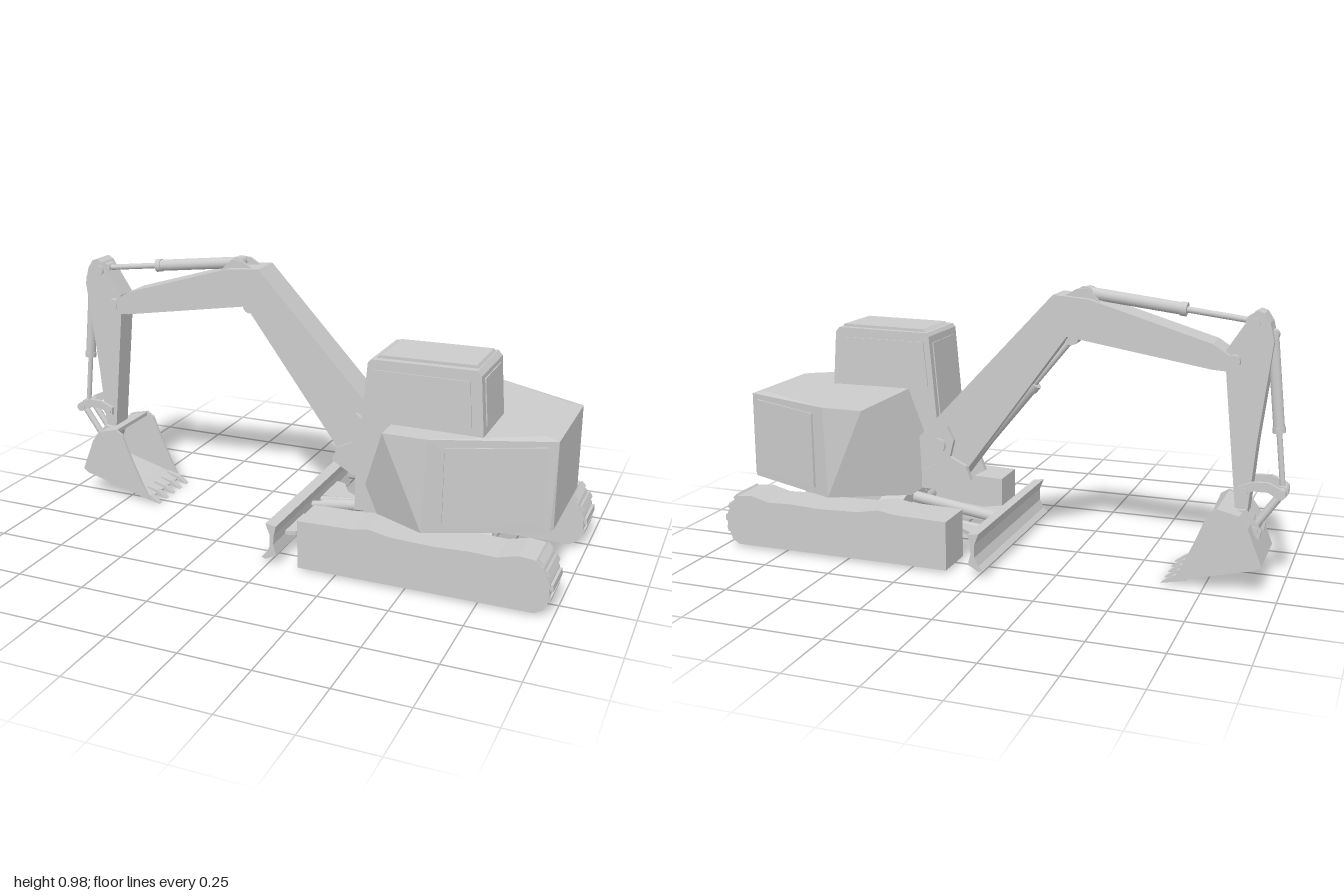
import * as THREE from 'three';
import { ConvexGeometry } from 'three/addons/geometries/ConvexGeometry.js';

const mat = new THREE.MeshStandardMaterial({ color: 0xcccccc, flatShading: true, side: THREE.DoubleSide });
const smooth = new THREE.MeshStandardMaterial({ color: 0xcccccc });
const V = (x, y, z) => new THREE.Vector3(x, y, z);
const ARM_Z = -0.08; // the digging arm sits off-centre, beside the cab

export function createModel() {
  const root = new THREE.Group();

  function add(name, geometry, parent = root, material = mat) {
    const mesh = new THREE.Mesh(geometry, material);
    mesh.name = name;
    parent.add(mesh);
    return mesh;
  }
  function group(name) {
    const g = new THREE.Group();
    g.name = name;
    root.add(g);
    return g;
  }
  // side profile in x,y extruded from z0 to z1
  function plate(name, pts, z0, z1, parent) {
    const shape = new THREE.Shape(pts.map(p => new THREE.Vector2(p[0], p[1])));
    const g = new THREE.ExtrudeGeometry(shape, { depth: z1 - z0, bevelEnabled: false });
    g.translate(0, 0, z0);
    return add(name, g, parent);
  }
  function box(name, w, h, d, x, y, z, parent) {
    const m = add(name, new THREE.BoxGeometry(w, h, d), parent);
    m.position.set(x, y, z);
    return m;
  }
  function rod(name, a, b, r, parent, sides = 16) {
    const m = add(name, new THREE.CylinderGeometry(r, r, a.distanceTo(b), sides), parent, smooth);
    m.position.copy(a).lerp(b, 0.5);
    m.quaternion.setFromUnitVectors(V(0, 1, 0), b.clone().sub(a).normalize());
    return m;
  }
  const pin = (name, x, y, half, r, parent) => rod(name, V(x, y, ARM_Z - half), V(x, y, ARM_Z + half), r, parent);
  // hydraulic cylinder: barrel from a to the split, thin rod on to b
  function hydraulic(name, a, b, split, r) {
    const g = group(name), mid = a.clone().lerp(b, split);
    rod('barrel', a, mid, r, g);
    rod('pistonRod', mid, b, r * 0.5, g);
    rod('barrelCollar', mid.clone().lerp(a, 0.06), mid, r * 1.15, g);
    for (const p of [a, b]) pin('endEye', p.x, p.y, r * 1.1, r * 1.05, g);
  }

  // Tracks
  const trackProfile = [[0.115, 0.01], [0.94, 0.01], [0.965, 0.025], [0.985, 0.075], [0.985, 0.12], [0.96, 0.17],
    [0.935, 0.195], [0.88, 0.2], [0.81, 0.182], [0.72, 0.185], [0.6, 0.18], [0.45, 0.185], [0.37, 0.2], [0.31, 0.19], [0.115, 0.185]];
  for (const [name, z0, z1] of [['leftTrack', 0.2, 0.35], ['rightTrack', -0.36, -0.205]]) {
    const g = group(name);
    plate('trackBelt', trackProfile, z0, z1, g);
    // shoe bars around the rear end
    for (const [x, y, a] of [[0.958, 0.03, -0.9], [0.98, 0.065, -0.25], [0.986, 0.105, 0.1], [0.972, 0.15, 0.5], [0.945, 0.185, 0.8]])
      box('trackShoe', 0.02, 0.022, z1 - z0 - 0.012, x, y, (z0 + z1) / 2, g).rotation.z = a;
  }

  // Undercarriage
  const frame = group('undercarriage');
  box('centreFrame', 0.34, 0.045, 0.19, 0.56, 0.16, 0, frame);
  box('centreBeam', 0.3, 0.07, 0.05, 0.56, 0.105, -0.01, frame);
  for (const x of [0.42, 0.7]) {
    rod('crossTube', V(x, 0.1, -0.22), V(x, 0.1, 0.22), 0.03, frame);
    box('crossBeam', 0.05, 0.02, 0.42, x, 0.138, 0, frame);
    for (const s of [-1, 1]) {
      const leg = box('slopedLeg', 0.09, 0.015, 0.14, x, 0.165, s * 0.145, frame);
      leg.rotation.x = s * 0.28;
      box('tubeBracket', 0.06, 0.05, 0.025, x, 0.115, s * 0.1, frame);
    }
  }
  rod('turntableRing', V(0.56, 0.175, 0), V(0.56, 0.205, 0), 0.11, frame, 32);
  rod('turntable', V(0.56, 0.2, 0), V(0.56, 0.235, 0), 0.14, frame, 32);

  // Dozer blade with its push arms
  const dozer = group('dozerBlade');
  plate('blade', [[-0.005, 0.155], [0.01, 0.115], [0.01, 0.07], [-0.005, 0.04], [-0.022, 0.025], [-0.005, 0.02],
    [0.022, 0.035], [0.035, 0.04], [0.024, 0.08], [0.026, 0.115], [0.035, 0.15]], -0.36, 0.35, dozer);
  for (const s of [-1, 1]) {
    rod('pushArm', V(0.02, 0.075, s * 0.09), V(0.42, 0.115, s * 0.09), 0.014, dozer);
    const gusset = new THREE.Shape([[0.02, 0.25], [0.06, 0.24], [0.1, 0.17], [0.17, 0.12], [0.17, 0.1], [0.02, 0.1]]
      .map(([x, z]) => new THREE.Vector2(x, s * z)));
    const m = add('gusset', new THREE.ExtrudeGeometry(gusset, { depth: 0.015, bevelEnabled: false }), dozer);
    m.rotation.set(Math.PI / 2, 0, 0);
    m.position.y = 0.09;
  }
  rod('bladeCylinder', V(0.07, 0.1, 0), V(0.42, 0.15, 0), 0.021, dozer);
  rod('bladeRod', V(0.02, 0.093, 0), V(0.07, 0.1, 0), 0.012, dozer);

  // Upper body: sloping nose, wide shoulders, tapered tail
  const body = group('upperBody');
  const corners = [];
  for (const s of [-1, 1]) corners.push(
    V(0.295, 0.23, s * 0.24), V(0.56, 0.23, s * 0.37), V(0.945, 0.23, s * 0.205), V(0.955, 0.24, s * 0.195),
    V(0.42, 0.555, s * 0.37), V(0.57, 0.555, s * 0.37), V(0.91, 0.552, s * 0.18), V(0.955, 0.543, s * 0.195));
  add('bodyShell', new ConvexGeometry(corners), body);
  for (const s of [-1, 1]) {
    const panel = box('engineDoor', 0.33, 0.27, 0.02, 0.772, 0.39, s * 0.274, body);
    panel.rotation.y = s * 0.417;
    const vent = box('doorEdge', 0.014, 0.27, 0.03, 0.625, 0.39, s * 0.336, body);
    vent.rotation.y = s * 0.417;
  }

  // Cab
  const cab = group('cab');
  plate('cabShell', [[0.295, 0.232], [0.73, 0.232], [0.73, 0.555], [0.715, 0.755], [0.7, 0.772], [0.345, 0.768],
    [0.335, 0.755], [0.305, 0.42]], 0.022, 0.28, cab);
  plate('cabRoof', [[0.35, 0.765], [0.7, 0.768], [0.69, 0.782], [0.37, 0.778]], 0.045, 0.255, cab);
  plate('sideWindow', [[0.34, 0.57], [0.69, 0.57], [0.68, 0.735], [0.357, 0.735]], 0.018, 0.284, cab);
  box('rearWindow', 0.008, 0.16, 0.19, 0.722, 0.66, 0.15, cab).rotation.z = 0.075;
  box('frontWindow', 0.008, 0.28, 0.2, 0.32, 0.59, 0.15, cab).rotation.z = -0.09;

  // Boom and its foot
  const boom = group('boom');
  plate('boomBeam', [[0.18, 0.235], [0.295, 0.235], [0.305, 0.42], [-0.195, 0.955], [-0.32, 0.945], [-0.74, 0.82],
    [-0.81, 0.775], [-0.835, 0.745], [-0.82, 0.73], [-0.74, 0.735], [-0.245, 0.815]], ARM_Z - 0.062, ARM_Z + 0.062, boom);
  for (const s of [-1, 1]) {
    const z = ARM_Z + s * 0.07;
    plate('footBracket', [[0.1, 0.28], [0.18, 0.235], [0.29, 0.235], [0.29, 0.3], [0.23, 0.33], [0.22, 0.45],
      [0.19, 0.47], [0.165, 0.42], [0.18, 0.36], [0.12, 0.33]], z - 0.01, z + 0.01, boom);
    plate('cylinderLug', [[-0.36, 0.93], [-0.22, 0.945], [-0.27, 0.975], [-0.31, 0.978]],
      ARM_Z + s * 0.035 - 0.005, ARM_Z + s * 0.035 + 0.005, boom);
  }
  pin('footPin', 0.22, 0.4, 0.09, 0.025, boom);
  pin('stickPin', -0.81, 0.765, 0.065, 0.022, boom);

  // Stick
  const stick = group('stick');
  plate('stickBeam', [[-0.9, 0.925], [-0.92, 0.895], [-0.935, 0.835], [-0.895, 0.5], [-0.872, 0.24], [-0.855, 0.215],
    [-0.835, 0.235], [-0.785, 0.72], [-0.783, 0.8], [-0.86, 0.92], [-0.88, 0.932]], ARM_Z - 0.042, ARM_Z + 0.042, stick);
  pin('stickHeadPin', -0.87, 0.89, 0.05, 0.018, stick);

  // Hydraulics
  hydraulic('stickCylinder', V(-0.3, 0.96, ARM_Z), V(-0.86, 0.893, ARM_Z), 0.61, 0.021);
  hydraulic('boomCylinder', V(0.17, 0.29, ARM_Z), V(-0.25, 0.805, ARM_Z), 0.67, 0.024);
  hydraulic('bucketCylinder', V(-0.925, 0.85, ARM_Z), V(-0.982, 0.33, ARM_Z), 0.62, 0.019);

  // Bucket linkage
  const linkage = group('bucketLinkage');
  for (const s of [-1, 1]) {
    const z = ARM_Z + s * 0.05;
    plate('curvedLink', [[-0.995, 0.32], [-0.99, 0.345], [-0.94, 0.368], [-0.89, 0.366], [-0.84, 0.345], [-0.84, 0.315],
      [-0.89, 0.335], [-0.94, 0.335], [-0.975, 0.315]], z - 0.007, z + 0.007, linkage);
    rod('straightLink', V(-0.982, 0.325, ARM_Z + s * 0.03), V(-0.895, 0.2, ARM_Z + s * 0.03), 0.012, linkage);
  }
  pin('linkPin', -0.982, 0.33, 0.06, 0.016, linkage);
  pin('stickLinkPin', -0.86, 0.33, 0.06, 0.014, linkage);

  // Bucket: folded shell, side plates and teeth, open towards the body
  const bucket = group('bucket');
  const W = 0.12, z0 = ARM_Z - W, z1 = ARM_Z + W;
  plate('bucketShell', [[-0.785, 0.28], [-0.86, 0.262], [-0.89, 0.225], [-0.94, 0.1], [-0.92, 0.085], [-0.725, 0.035],
    [-0.65, 0.012], [-0.645, 0.02], [-0.725, 0.048], [-0.912, 0.098], [-0.925, 0.108], [-0.878, 0.218], [-0.852, 0.25],
    [-0.785, 0.266]], z0, z1, bucket);
  for (const z of [z0, z1])
    plate('bucketSide', [[-0.785, 0.283], [-0.86, 0.265], [-0.89, 0.225], [-0.94, 0.1], [-0.92, 0.085], [-0.725, 0.035],
      [-0.645, 0.012], [-0.675, 0.07], [-0.72, 0.17], [-0.757, 0.265]], z - 0.005, z + 0.005, bucket);
  for (let i = 0; i < 5; i++) {
    const z = ARM_Z + (i - 2) * 0.054;
    plate('tooth', [[-0.69, 0.018], [-0.605, 0], [-0.645, 0.03], [-0.69, 0.042]], z - 0.011, z + 0.011, bucket);
  }
  for (const s of [-1, 1]) {
    const z = ARM_Z + s * 0.055;
    plate('bucketEar', [[-0.92, 0.17], [-0.925, 0.2], [-0.905, 0.225], [-0.87, 0.27], [-0.84, 0.265], [-0.82, 0.24]],
      z - 0.009, z + 0.009, bucket);
  }
  pin('bucketPin', -0.855, 0.24, 0.07, 0.018, bucket);
  pin('bucketLinkPin', -0.9, 0.2, 0.07, 0.015, bucket);

  return root;
}
